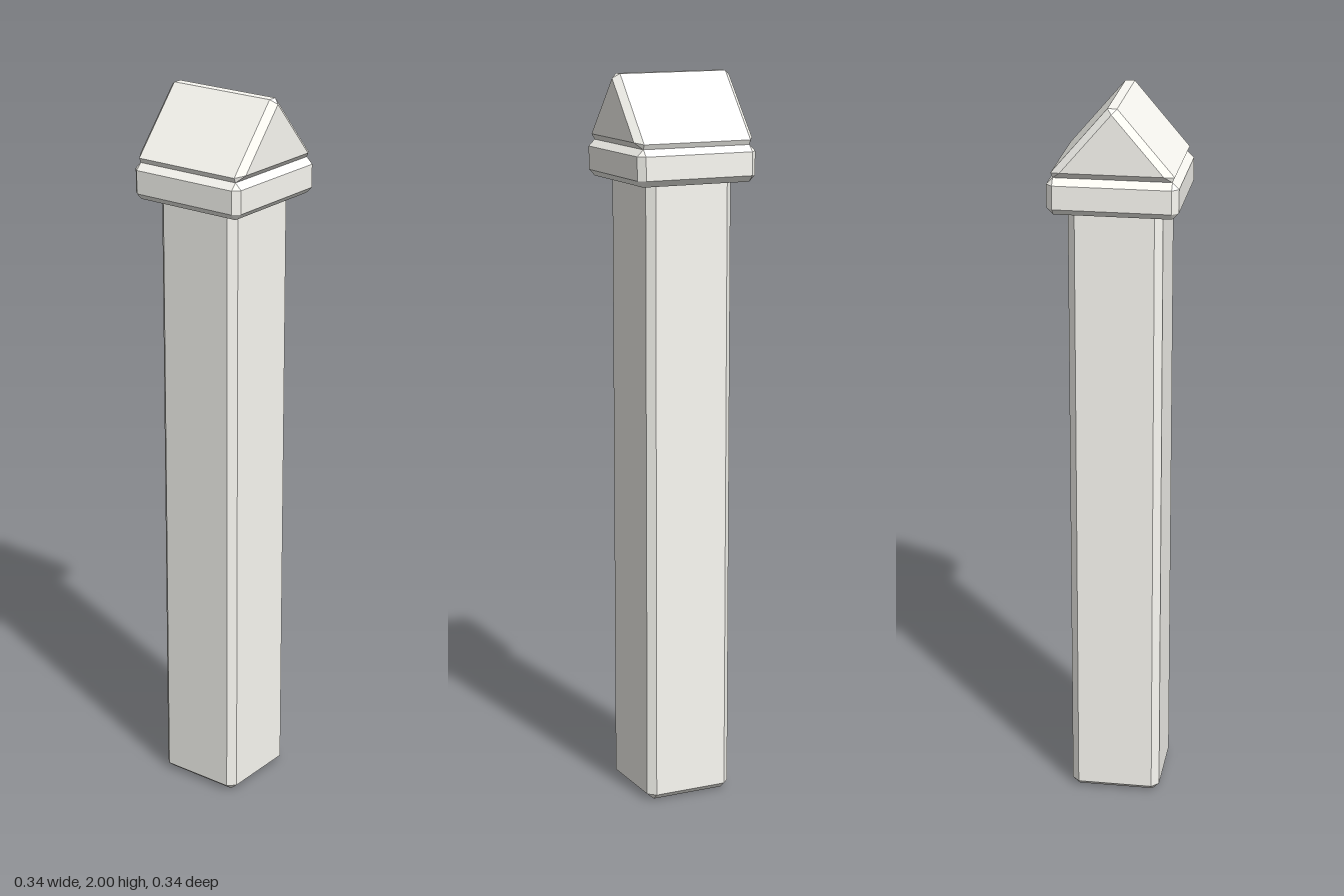
import * as THREE from 'three';
import { ConvexGeometry } from 'three/addons/geometries/ConvexGeometry.js';

const BEVEL = 0.0175;
const material = new THREE.MeshStandardMaterial({ color: 0xfbfaf4, flatShading: true });
const SIGNS = [-1, 1];

function convexMesh(name, points) {
  const mesh = new THREE.Mesh(new ConvexGeometry(points), material);
  mesh.name = name;
  return mesh;
}

// Square block with every edge chamfered: side is the inset in x and z, BEVEL the one in y
function chamferedBlock(name, half, bottom, top, side) {
  const h = (top - bottom) / 2, mid = (top + bottom) / 2;
  const inner = half - side, shoulder = h - BEVEL;
  const points = [];
  for (const x of SIGNS) for (const y of SIGNS) for (const z of SIGNS) {
    points.push(
      new THREE.Vector3(x * half, mid + y * shoulder, z * inner),
      new THREE.Vector3(x * inner, mid + y * h, z * inner),
      new THREE.Vector3(x * inner, mid + y * shoulder, z * half));
  }
  return convexMesh(name, points);
}

// Gable prism with chamfered edges, its ridge running along z
function gable(name, half) {
  const inner = half - BEVEL;
  const points = [];
  for (const z of SIGNS) {
    points.push(new THREE.Vector3(0, 1.988, z * half)); // tip of the end triangle
    for (const x of SIGNS) {
      points.push(
        new THREE.Vector3(x * 0.0125, 2, z * inner), // ridge strip
        new THREE.Vector3(x * 0.161, 1.827, z * inner), // eaves
        new THREE.Vector3(x * inner, 1.814, z * inner), // underside
        new THREE.Vector3(x * 0.135, 1.831, z * half)); // end triangle corners
    }
  }
  return convexMesh(name, points);
}

export function createModel() {
  const group = new THREE.Group();
  group.name = 'gabledPost';
  group.add(
    chamferedBlock('shaft', 0.125, 0, 1.74, 0.02),
    chamferedBlock('collar', 0.1725, 1.716, 1.814, BEVEL),
    gable('gableCap', 0.1725));
  return group;
}
